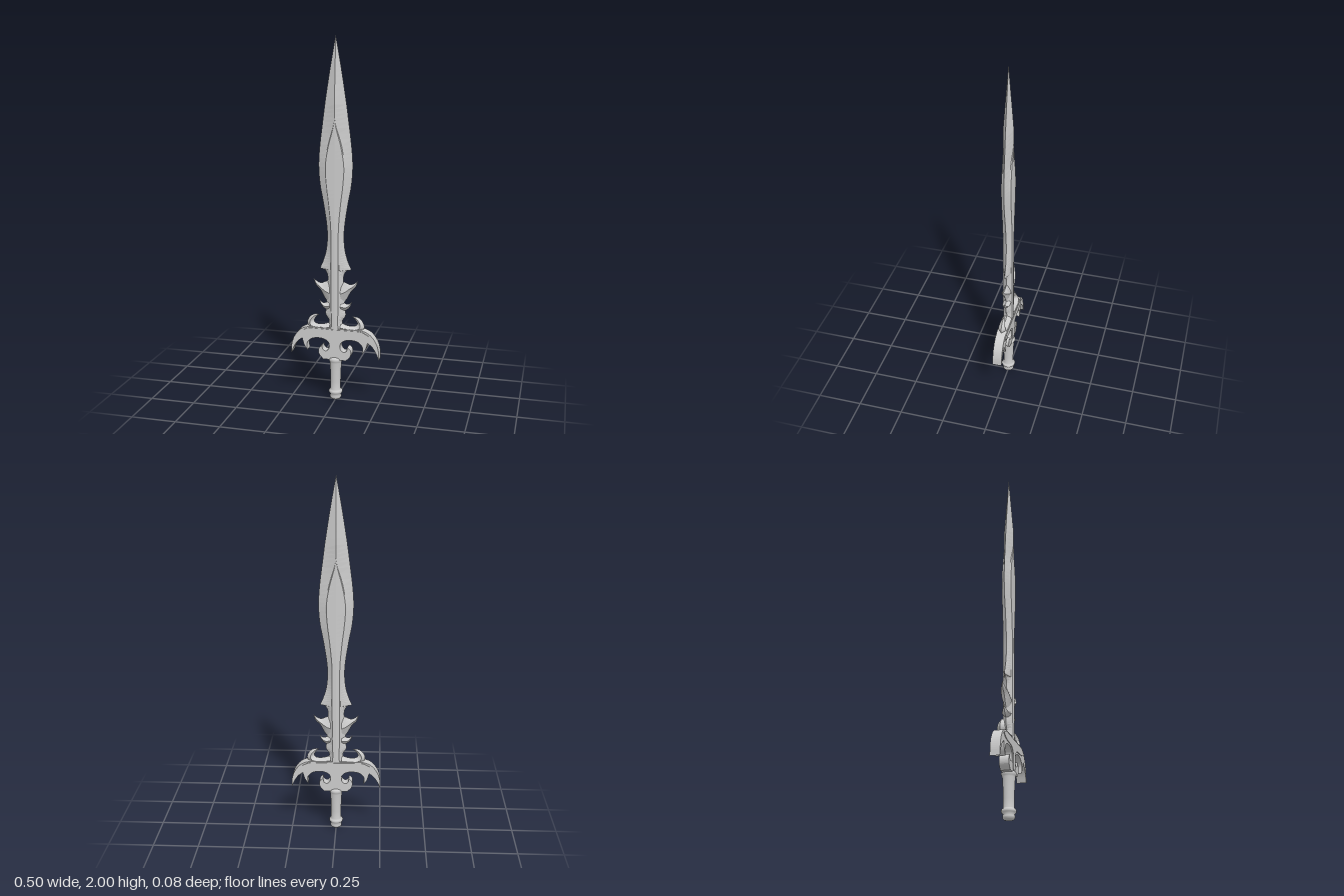
import * as THREE from 'three';

const grey = new THREE.MeshStandardMaterial({ color: 0xcccccc });
const facet = new THREE.MeshStandardMaterial({ color: 0xcccccc, flatShading: true });

// Smoothly resample a short list of 2D or 3D points
function smooth(points, n) {
  const v = points.map(p => new THREE.Vector3(p[0], p[1], p[2] || 0));
  return new THREE.CatmullRomCurve3(v, false, 'centripetal').getPoints(n);
}

// Closed skin over a row of cross-sections, always facing outward
function loft(rings) {
  const n = rings[0].length, tris = [];
  for (let i = 0; i < rings.length - 1; i++) {
    for (let j = 0; j < n; j++) {
      const k = (j + 1) % n, a = rings[i], b = rings[i + 1];
      tris.push([a[j], a[k], b[k]], [a[j], b[k], b[j]]);
    }
  }
  const first = rings[0], last = rings[rings.length - 1];
  for (let j = 1; j < n - 1; j++) {
    tris.push([first[0], first[j + 1], first[j]], [last[0], last[j], last[j + 1]]);
  }
  let volume = 0;
  for (const [a, b, c] of tris) volume += a.dot(b.clone().cross(c));
  if (volume < 0) tris.forEach(t => t.reverse());
  const g = new THREE.BufferGeometry().setFromPoints(tris.flat());
  g.computeVertexNormals();
  return g;
}

// Pointed horn with a diamond section between an outer and an inner edge line
function claw(outer, inner, thick, side) {
  const n = 18, o = smooth(outer, n), q = smooth(inner, n);
  return loft(o.map((a, i) => {
    const b = q[i], mx = (a.x + b.x) / 2, my = (a.y + b.y) / 2;
    const z = thick * (1 - Math.pow(i / n, 2));
    return [[a.x, a.y, 0], [mx, my, z], [b.x, b.y, 0], [mx, my, -z]]
      .map(p => new THREE.Vector3(side * p[0], p[1], p[2]));
  }));
}

// Flat plate from the curved runs of its right half, mirrored in x
function plate(runs, depth) {
  const half = [];
  for (const run of runs) half.push(...smooth(run, run.length > 2 ? run.length * 4 : 1));
  const other = half.slice().reverse().map(p => new THREE.Vector3(-p.x, p.y, 0));
  const pts = half.concat(other).map(p => new THREE.Vector2(p.x, p.y))
    .filter((p, i, a) => i === 0 || p.distanceTo(a[i - 1]) > 1e-4);
  if (pts[0].distanceTo(pts[pts.length - 1]) < 1e-4) pts.pop();
  const g = new THREE.ExtrudeGeometry(new THREE.Shape(pts), { depth, bevelEnabled: false });
  return g.translate(0, 0, -depth / 2);
}

export function createModel() {
  const group = new THREE.Group();
  const add = (name, geometry, material = facet) => {
    const mesh = new THREE.Mesh(geometry, material);
    mesh.name = name;
    group.add(mesh);
  };

  // Leaf blade: height, half width, half width of the raised spine
  const rows = [
    [2, 0, 0], [1.9, 0.018, 0], [1.8, 0.035, 0], [1.65, 0.058, 0], [1.55, 0.071, 0.003],
    [1.42, 0.087, 0.035], [1.32, 0.093, 0.05], [1.22, 0.086, 0.045], [1.12, 0.068, 0.033],
    [1.0, 0.05, 0.022], [0.93, 0.046, 0.02], [0.85, 0.054, 0.02], [0.79, 0.072, 0.02],
    [0.755, 0.085, 0.02], [0.748, 0.062, 0.02], [0.72, 0.046, 0.02], [0.67, 0.046, 0.02],
    [0.6, 0.052, 0.02], [0.54, 0.05, 0.02], [0.495, 0.057, 0.018], [0.46, 0.038, 0.017],
    [0.41, 0.05, 0.02],
  ];
  const sections = smooth(rows, 90).map(r => {
    const w = Math.max(0, r.y), p = Math.max(0, r.z), k = Math.min(1, p / 0.02);
    const z = Math.min(0.028, Math.max(0, 2 - r.x) * 0.08);
    const step = [p + 0.004 * k, z * (1 - 0.3 * k)], top = [p, z * (1 - 0.08 * k)];
    return [
      [w, 0], step, top, [0, z], [-top[0], top[1]], [-step[0], step[1]],
      [-w, 0], [-step[0], -step[1]], [-top[0], -top[1]], [0, -z], [top[0], -top[1]], [step[0], -step[1]],
    ].map(c => new THREE.Vector3(c[0], r.x, c[1]));
  });
  add('blade', loft(sections));

  for (const [side, label] of [[1, 'left'], [-1, 'right']]) {
    // Barb at the base of the blade
    add(label + 'Barb', claw(
      [[0.03, 0.55], [0.06, 0.585], [0.088, 0.635], [0.112, 0.66], [0.125, 0.695]],
      [[0.03, 0.69], [0.055, 0.682], [0.08, 0.672], [0.1, 0.677], [0.125, 0.695]], 0.024, side));
    // Small spike under the barb
    add(label + 'Spike', claw(
      [[0.03, 0.515], [0.06, 0.525], [0.08, 0.545], [0.092, 0.575]],
      [[0.03, 0.58], [0.055, 0.562], [0.072, 0.56], [0.092, 0.575]], 0.022, side));
    // Crescent horn curling above the guard
    add(label + 'Horn', claw(
      [[0.03, 0.405], [0.09, 0.41], [0.15, 0.415], [0.162, 0.44], [0.145, 0.475], [0.12, 0.49], [0.093, 0.49]],
      [[0.03, 0.45], [0.07, 0.437], [0.11, 0.438], [0.122, 0.45], [0.117, 0.465], [0.108, 0.477], [0.093, 0.49]],
      0.027, side));
  }

  // Cross guard with drooping tips, inner claws and lower curls
  add('guard', plate([
    [[0, 0.42], [0.1, 0.422], [0.155, 0.42], [0.195, 0.403], [0.23, 0.36], [0.246, 0.31], [0.248, 0.26]],
    [[0.248, 0.26], [0.232, 0.3], [0.21, 0.333], [0.185, 0.353]],
    [[0.185, 0.353], [0.174, 0.315], [0.155, 0.285]],
    [[0.155, 0.285], [0.157, 0.325], [0.135, 0.352], [0.1, 0.361], [0.06, 0.357], [0.034, 0.338],
      [0.032, 0.305], [0.05, 0.288], [0.067, 0.296], [0.072, 0.318]],
    [[0.072, 0.318], [0.09, 0.3], [0.09, 0.27], [0.065, 0.24]],
    [[0.065, 0.24], [0, 0.24]],
  ], 0.052), grey);

  // Thin raised panel on both faces of the guard
  add('guardPanel', plate([
    [[0, 0.415], [0.1, 0.416], [0.15, 0.414], [0.19, 0.395]],
    [[0.19, 0.395], [0.15, 0.377], [0.1, 0.372], [0.05, 0.367], [0.022, 0.34], [0.02, 0.3], [0.02, 0.26]],
    [[0.02, 0.26], [0, 0.255]],
  ], 0.059), grey);

  // Turned grip with collar and pommel
  const turned = [
    [0, 0.004], [0.024, 0.006], [0.031, 0.013], [0.032, 0.022], [0.029, 0.034], [0.037, 0.042],
    [0.039, 0.05], [0.036, 0.058], [0.028, 0.064], [0.028, 0.11], [0.03, 0.17], [0.033, 0.22],
    [0.036, 0.228], [0.04, 0.237], [0.037, 0.247], [0.026, 0.254], [0, 0.255],
  ].map(p => new THREE.Vector2(p[0], p[1] < 0.006 ? 0 : p[1]));
  add('grip', new THREE.LatheGeometry(turned, 24), grey);

  return group;
}
